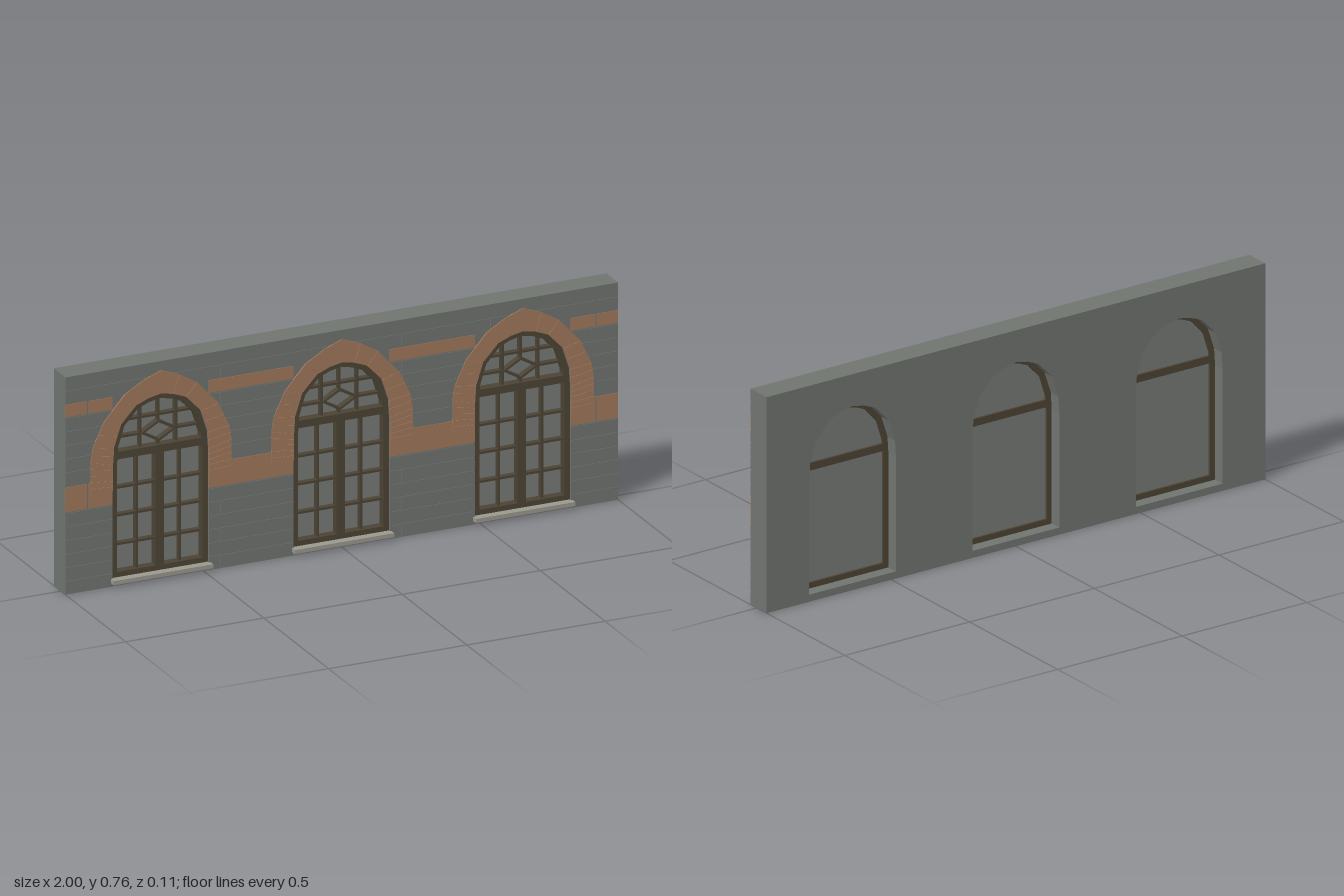
import * as THREE from 'three';

const mat = (name, color, extra = {}) => Object.assign(new THREE.MeshStandardMaterial({ color, ...extra }), { name });

export function createModel() {
  const stone = mat('greyStone', 0x70746f);
  const brick = mat('terracotta', 0xa0775c);
  const wood = mat('darkWood', 0x4b4334);
  const pane = mat('greyGlass', 0x767a75, { side: THREE.DoubleSide });
  const sillStone = mat('paleSill', 0x9a988d);

  const model = new THREE.Group();
  model.name = 'archedWindowWall';
  const H = 0.765, BACK = -0.055, BASE = 0.033, FACE = 0.035, course = H / 16, gap = 0.004;
  const centres = [-0.655, 0, 0.655];

  // Right half of the opening and of the brick surround, from spring to apex
  const inner = [[0.174, 0.43], [0.17, 0.49], [0.145, 0.567], [0.09, 0.625], [0.045, 0.643], [0, 0.652]];
  const outer = [[0.255, 0.45], [0.247, 0.5], [0.207, 0.585], [0.13, 0.67], [0.065, 0.708], [0, 0.733]];

  const add = (parent, name, geo, material) => {
    const m = new THREE.Mesh(geo, material);
    m.name = name;
    parent.add(m);
    return m;
  };
  // Box given by its limits
  const box = (parent, name, material, x0, x1, y0, y1, z0, z1) => {
    const m = add(parent, name, new THREE.BoxGeometry(x1 - x0, y1 - y0, z1 - z0), material);
    m.position.set((x0 + x1) / 2, (y0 + y1) / 2, (z0 + z1) / 2);
    return m;
  };
  const vecs = (pts) => pts.map(([x, y]) => new THREE.Vector2(x, y));
  const mirror = (pts) => pts.map(([x, y]) => [-x, y]).reverse();
  // Closed arch outline standing on a flat base
  const archPoints = (half, base) => [[half[0][0], base], ...half, ...mirror(half).slice(1), [-half[0][0], base]];
  const slab = (shape, z0, z1) =>
    new THREE.ExtrudeGeometry(shape, { depth: z1 - z0, bevelEnabled: false }).translate(0, 0, z0);
  // Half width of the opening at a height
  const halfWidth = (y) => {
    if (y <= inner[0][1]) return inner[0][0];
    for (let i = 1; i < inner.length; i++) {
      const [x0, y0] = inner[i - 1], [x1, y1] = inner[i];
      if (y <= y1) return x0 + (x1 - x0) * (y - y0) / (y1 - y0);
    }
    return 0;
  };

  // Wall core with three arched openings
  const wall = new THREE.Shape(vecs([[-1, 0], [1, 0], [1, H], [-1, H]]));
  for (const c of centres) {
    wall.holes.push(new THREE.Path(vecs(archPoints(inner, 0.025).map(([x, y]) => [x + c, y]))));
  }
  add(model, 'wallCore', slab(wall, BACK, BASE), stone);

  // Coursed facing blocks, split at joints and stopped at the openings
  const facing = new THREE.Group();
  facing.name = 'facingBlocks';
  model.add(facing);
  const layCourse = (name, material, y0, y1, w, joints) => {
    const spans = [];
    let left = -1;
    for (const c of centres) {
      if (w > 0) {
        spans.push([left, c - w]);
        left = c + w;
      }
    }
    spans.push([left, 1]);
    for (const [a, b] of spans) {
      const cuts = [a, ...joints.filter((j) => j > a + 0.03 && j < b - 0.03), b];
      for (let i = 1; i < cuts.length; i++) {
        const x0 = cuts[i - 1] + (i > 1 ? gap / 2 : 0);
        const x1 = cuts[i] - (i < cuts.length - 1 ? gap / 2 : 0);
        box(facing, name, material, x0, x1, y0 + (y0 > 0 ? gap / 2 : 0), y1 - (y1 < H ? gap / 2 : 0), BASE, FACE);
      }
    }
  };
  const evenJoints = [-0.92, -0.44, -0.12, 0.215, 0.535, 0.92];
  const oddJoints = [-0.86, -0.33, 0.33, 0.86];
  for (let i = 0; i < 16; i++) {
    const y = i * course, joints = i % 2 ? oddJoints : evenJoints;
    if (i === 7) continue;
    if (i === 6) layCourse('lowerBand', brick, y, y + 2 * course - 0.004, 0.174, [-0.92, 0.92]);
    else if (i === 13) layCourse('upperBand', brick, y, y + course, 0.174, [-0.92, 0.92]);
    else layCourse('stoneBlock', stone, y, y + course, halfWidth(y), joints);
  }

  // Brick surround: backing ring plus separate jamb bricks and voussoirs
  const buildSurround = (parent) => {
    const ring = [...archPoints(outer, 0.335), ...archPoints(inner, 0.335).reverse()];
    add(parent, 'surroundBacking', slab(new THREE.Shape(vecs(ring)), BASE, 0.0365), brick);
    const pairs = [];
    for (let i = 0; i < 5; i++) {
      pairs.push([[0.174, 0.335 + i * 0.019], [0.255, 0.335 + i * 0.023]]);
    }
    const mix = (a, b, t) => [a[0] + (b[0] - a[0]) * t, a[1] + (b[1] - a[1]) * t];
    inner.forEach((p, i) => {
      pairs.push([p, outer[i]]);
      if (i < 2) pairs.push([mix(p, inner[i + 1], 0.5), mix(outer[i], outer[i + 1], 0.5)]);
    });
    for (let i = 1; i < pairs.length; i++) {
      const [a, b] = pairs[i - 1], [d, c] = pairs[i];
      // Narrow each brick along the arch to leave a joint
      const trim = (p, q) => {
        const t = 0.0012 / Math.hypot(q[0] - p[0], q[1] - p[1]);
        return [mix(p, q, t), mix(p, q, 1 - t)];
      };
      const [a2, d2] = trim(a, d), [b2, c2] = trim(b, c);
      for (const s of [1, -1]) {
        const quad = [a2, b2, c2, d2].map(([x, y]) => [x * s, y]);
        add(parent, 'archBrick', slab(new THREE.Shape(vecs(quad)), 0.0365, 0.0385), brick);
      }
    }
  };

  // Timber frame, transom, glazing bars and lattice
  const buildWindow = (parent) => {
    const frame = new THREE.Shape(vecs(archPoints(inner, 0.025)));
    const inset = inner.map(([x, y]) => [x * 0.885, 0.43 + (y - 0.43) * 0.91]);
    frame.holes.push(new THREE.Path(vecs(archPoints(inset, 0.045))));
    add(parent, 'frame', slab(frame, -0.012, 0.027), wood);
    add(parent, 'glass', new THREE.ShapeGeometry(new THREE.Shape(vecs(archPoints(inner, 0.025)))), pane)
      .position.z = -0.004;
    box(parent, 'transom', wood, -0.16, 0.16, 0.442, 0.468, -0.012, 0.029);
    box(parent, 'centreStile', wood, -0.015, 0.015, 0.04, 0.445, -0.003, 0.026);
    const bar = (x0, x1, y0, y1) => box(parent, 'glazingBar', wood, x0, x1, y0, y1, -0.003, 0.018);
    const t = 0.004;
    for (const y of [0.139, 0.24, 0.338]) bar(-0.16, 0.16, y - t, y + t);
    for (const s of [-1, 1]) {
      bar(s * 0.078 - t, s * 0.078 + t, 0.04, 0.445);
      bar(s * 0.065 - t, s * 0.065 + t, 0.46, 0.625);
      const xs = [s * 0.065, s * 0.16].sort((a, b) => a - b);
      bar(xs[0], xs[1], 0.515 - t, 0.515 + t);
    }
    bar(-0.135, 0.135, 0.572 - t, 0.572 + t);
    bar(-t, t, 0.55, 0.64);
    bar(-t, t, 0.46, 0.482);
    const diamond = (w, h) => vecs([[w, 0.515], [0, 0.515 + h], [-w, 0.515], [0, 0.515 - h]]);
    const lozenge = new THREE.Shape(diamond(0.066, 0.038));
    lozenge.holes.push(new THREE.Path(diamond(0.052, 0.029)));
    add(parent, 'lozengeBar', slab(lozenge, -0.003, 0.02), wood);
    box(parent, 'sill', sillStone, -0.18, 0.18, 0.013, 0.027, 0.01, 0.056);
  };

  for (const c of centres) {
    const bay = new THREE.Group();
    bay.name = 'windowBay';
    bay.position.x = c;
    buildSurround(bay);
    buildWindow(bay);
    model.add(bay);
  }
  return model;
}
